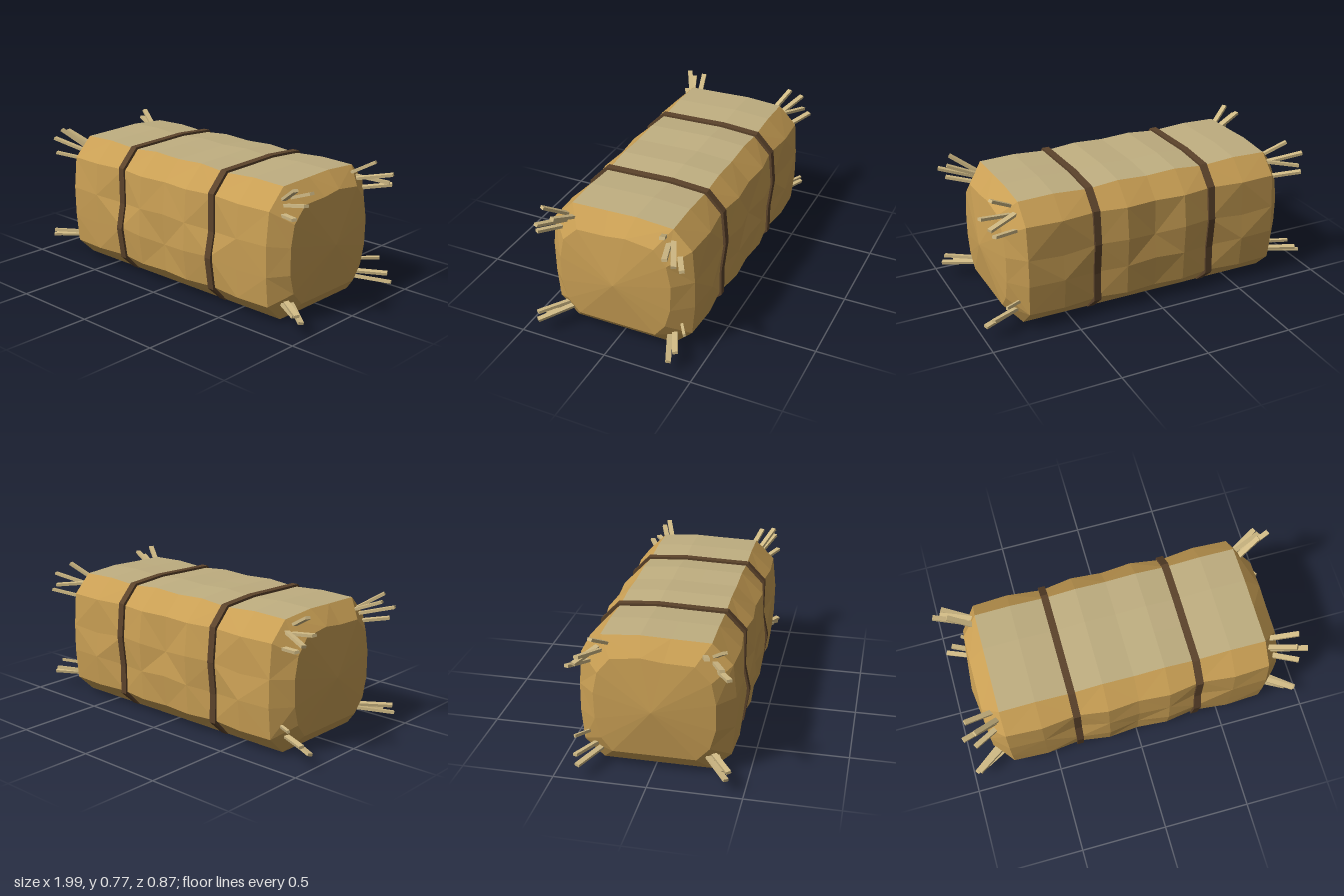
import * as THREE from 'three';

const mat = (name, color) => {
  const m = new THREE.MeshStandardMaterial({ color });
  m.name = name;
  return m;
};

// Cross-sections as [z, y], from the front bottom edge up, over the top and down the back
const BODY = [
  [0.295, 0], [0.4, 0.1], [0.418, 0.27], [0.41, 0.43], [0.4, 0.62], [0.29, 0.73], [0.08, 0.735],
  [-0.08, 0.74], [-0.29, 0.725], [-0.395, 0.62], [-0.408, 0.43], [-0.405, 0.27], [-0.395, 0.1], [-0.29, 0],
];
const END = [
  [0.23, 0.094], [0.3, 0.17], [0.33, 0.28], [0.33, 0.43], [0.305, 0.55], [0.22, 0.635], [0.06, 0.64],
  [-0.06, 0.655], [-0.22, 0.635], [-0.29, 0.55], [-0.315, 0.43], [-0.31, 0.28], [-0.28, 0.17], [-0.22, 0.094],
];
const STATIONS = [-0.75, -0.55, -0.35, -0.175, 0, 0.175, 0.35, 0.55, 0.75];
const SWELL = [0, 0.01, -0.012, 0.014, 0, 0.014, -0.012, 0.01, 0];

// Body section at one station: swollen between the straps and slightly lumpy
function section(k) {
  return BODY.map(([z, y], i) => {
    const lump = 0.012 * Math.sin(i * 2.4 + Math.abs(k - 4) * 1.9);
    const side = (i > 1 && i < 4) || (i > 9 && i < 12);
    const dz = i === 0 || i === 13 ? 0 : SWELL[k] + (side ? lump : 0);
    const dy = i > 4 && i < 9 ? SWELL[k] * 0.6 : side ? lump : 0;
    return [z + Math.sign(z) * (Math.abs(z) > 0.2 && y < 0.7 ? dz : 0), y + dy];
  });
}

function buildBale(straw, top) {
  const n = BODY.length;
  const rings = STATIONS.map((x, k) => section(k).map(([z, y]) => [x, y, z]));
  const endRing = (s) => END.map(([z, y]) => [s * 0.84, y, z]);
  const all = [endRing(-1), ...rings, endRing(1)];
  const sides = [], lid = [];
  for (let k = 0; k < all.length - 1; k++) {
    for (let i = 0; i < n; i++) {
      const j = (i + 1) % n;
      const a = all[k][i], b = all[k + 1][i], c = all[k + 1][j], d = all[k][j];
      const onTop = k > 0 && k < all.length - 2 && i >= 5 && i <= 7;
      const out = onTop ? lid : sides;
      if ((i + k) % 2) out.push(a, b, c, a, c, d);
      else out.push(a, b, d, b, c, d);
    }
  }
  // Shallow domed ends
  for (let i = 0; i < n; i++) {
    const j = (i + 1) % n;
    sides.push([0.88, 0.37, 0], all[all.length - 1][j], all[all.length - 1][i]);
    sides.push([-0.88, 0.37, 0], all[0][i], all[0][j]);
  }
  const geo = new THREE.BufferGeometry();
  const pos = [...sides, ...lid].flat();
  geo.setAttribute('position', new THREE.Float32BufferAttribute(pos, 3));
  geo.addGroup(0, sides.length, 0);
  geo.addGroup(sides.length, lid.length, 1);
  geo.computeVertexNormals();
  const mesh = new THREE.Mesh(geo, [straw, top]);
  mesh.name = 'bale';
  return mesh;
}

// Flat band hugging the bale section
function buildStrap(k, material) {
  const grow = (f) => section(k).map(([z, y]) =>
    new THREE.Vector2(-z * f, Math.max(0.001, 0.37 + (y - 0.37) * f)));
  const shape = new THREE.Shape(grow(1.04));
  const inner = grow(0.96);
  inner.forEach((p) => { p.y = Math.max(p.y, 0.012); });
  shape.holes.push(new THREE.Path(inner));
  const geo = new THREE.ExtrudeGeometry(shape, { depth: 0.04, bevelEnabled: false });
  geo.translate(0, 0, -0.02).rotateY(Math.PI / 2).translate(STATIONS[k], 0, 0);
  const mesh = new THREE.Mesh(geo, material);
  mesh.name = 'strap';
  return mesh;
}

// Loose stalks for one end: base [x, y, z] to tip [x, y, z]
const STALKS = [
  [[0.77, 0.67, 0.31], [0.9, 0.76, 0.38]],
  [[0.78, 0.67, 0.26], [0.94, 0.735, 0.3]],
  [[0.78, 0.64, 0.31], [0.97, 0.695, 0.38]],
  [[0.78, 0.595, 0.33], [0.92, 0.62, 0.41]],
  [[0.77, 0.69, -0.25], [0.9, 0.765, -0.3]],
  [[0.78, 0.655, -0.28], [0.98, 0.7, -0.35]],
  [[0.77, 0.665, -0.3], [0.94, 0.64, -0.38]],
  [[0.78, 0.59, -0.34], [0.93, 0.62, -0.42]],
  [[0.79, 0.11, 0.27], [0.98, 0.085, 0.41]],
  [[0.78, 0.12, 0.3], [0.96, 0.12, 0.42]],
  [[0.78, 0.11, 0.32], [0.92, 0.095, 0.39]],
  [[0.78, 0.11, -0.31], [0.95, 0.115, -0.39]],
  [[0.78, 0.09, -0.28], [0.99, 0.08, -0.37]],
  [[0.75, 0.17, -0.33], [0.88, 0.185, -0.41]],
];

function buildStalk(base, tip, i, s, material) {
  const a = new THREE.Vector3(base[0] * s, base[1], base[2]);
  const b = new THREE.Vector3(tip[0] * s, tip[1], tip[2]);
  const thin = i === STALKS.length - 1;
  const geo = new THREE.BoxGeometry(thin ? 0.015 : 0.028, 0.016, a.distanceTo(b));
  const mesh = new THREE.Mesh(geo, material);
  mesh.position.copy(a).lerp(b, 0.5);
  mesh.lookAt(b);
  mesh.rotateZ(Math.sin(i * 3.1) * 0.4);
  mesh.name = 'stalk';
  return mesh;
}

export function createModel() {
  const straw = mat('golden straw', 0xc99f54);
  const top = mat('pale top straw', 0xbfae80);
  const stalk = mat('loose straw', 0xcfb984);
  const twine = mat('brown strap', 0x5c432b);
  straw.flatShading = top.flatShading = true;

  const group = new THREE.Group();
  group.name = 'strawBale';
  group.add(buildBale(straw, top), buildStrap(2, twine), buildStrap(6, twine));
  for (const s of [-1, 1]) {
    const tuft = new THREE.Group();
    tuft.name = s > 0 ? 'leftStalks' : 'rightStalks';
    STALKS.forEach(([a, b], i) => tuft.add(buildStalk(a, b, i, s, stalk)));
    group.add(tuft);
  }
  return group;
}
